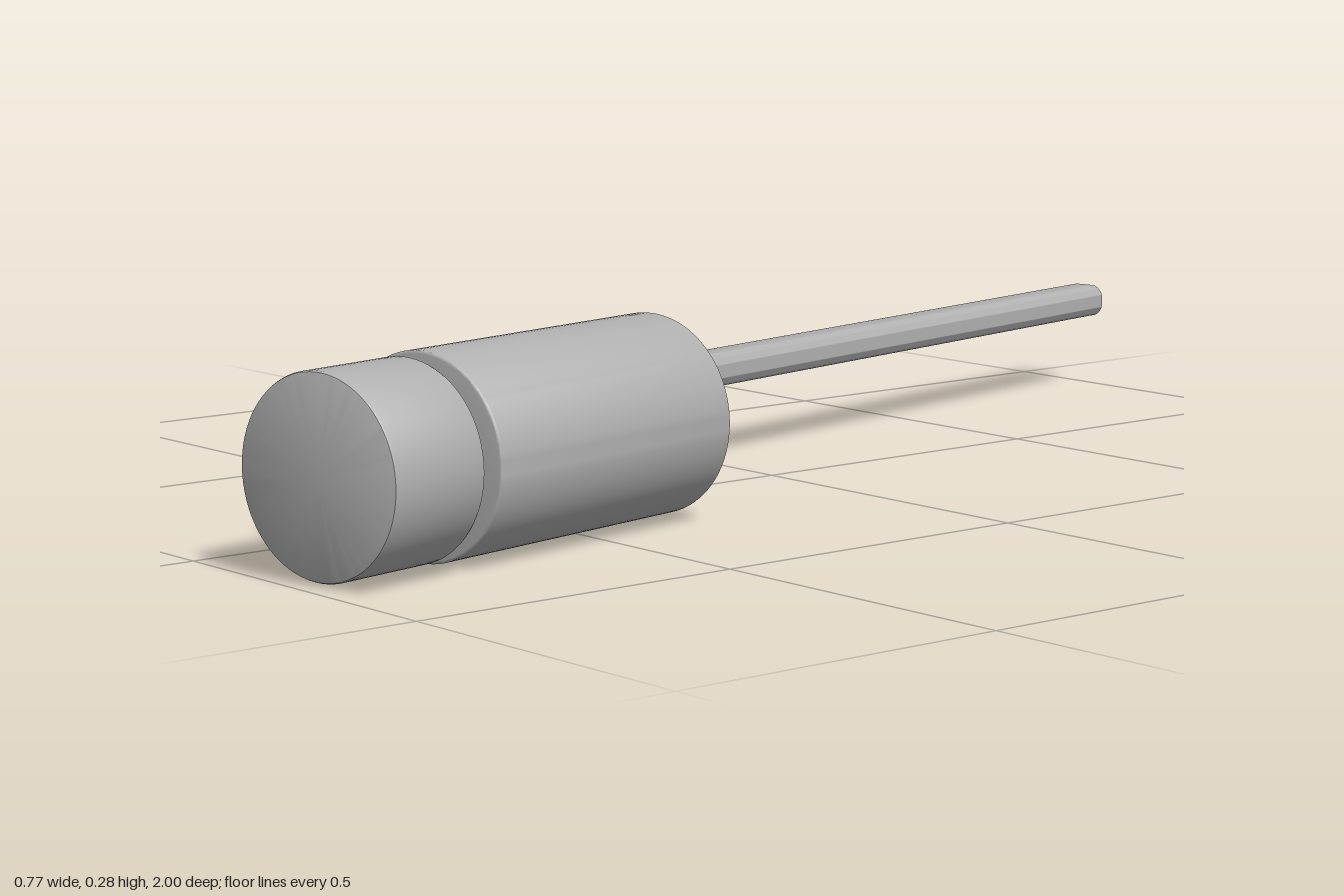
import * as THREE from 'three';
import { toCreasedNormals } from 'three/addons/utils/BufferGeometryUtils.js';

const LEFT = -0.182, ROD_RIGHT = -0.112, HALF = 0.0255, CORNER = 0.021; // rod section
const AXIS_X = 0.053, RADIUS = 0.141;                                   // barrel

// Rounded rectangle shared by the rod and its root
function rodShape() {
  const s = new THREE.Shape(), x0 = LEFT + CORNER, x1 = ROD_RIGHT - CORNER, y = HALF - CORNER;
  s.absarc(x1, y, CORNER, 0, Math.PI / 2);
  s.absarc(x0, y, CORNER, Math.PI / 2, Math.PI);
  s.absarc(x0, -y, CORNER, Math.PI, Math.PI * 1.5);
  s.absarc(x1, -y, CORNER, Math.PI * 1.5, Math.PI * 2);
  s.closePath();
  return s;
}

// Round barrel blending through concave fillets into the flat side web
function bodyShape() {
  const f = 0.04, h = HALF + f;
  const dx = Math.sqrt((RADIUS + f) ** 2 - h * h), fx = AXIS_X - dx, a = Math.atan2(h, dx);
  const s = new THREE.Shape(), x0 = LEFT + CORNER, y = HALF - CORNER;
  s.moveTo(fx, HALF);
  s.absarc(x0, y, CORNER, Math.PI / 2, Math.PI);
  s.absarc(x0, -y, CORNER, Math.PI, Math.PI * 1.5);
  s.absarc(fx, -h, f, Math.PI / 2, a, true);
  s.absarc(AXIS_X, 0, RADIUS, Math.PI + a, Math.PI * 3 - a);
  s.absarc(fx, h, f, -a, -Math.PI / 2, true);
  return s;
}

function extrude(shape, from, to, options) {
  const g = new THREE.ExtrudeGeometry(shape, { depth: to - from, bevelEnabled: false, curveSegments: 10, ...options });
  return g.translate(0, 0, from);
}

export function createModel() {
  const model = new THREE.Group();
  const grey = new THREE.MeshStandardMaterial({ color: 0xb0b0b0 });
  grey.name = 'plain grey';
  const tool = new THREE.Group();
  tool.name = 'angledAssembly';
  tool.position.y = RADIUS;
  tool.rotation.y = 0.198;
  model.add(tool);

  const add = (name, geometry) => {
    const mesh = new THREE.Mesh(toCreasedNormals(geometry, 0.6), grey);
    mesh.name = name;
    tool.add(mesh);
  };

  // Long thin rod
  add('rod', extrude(rodShape(), -1.043, 0.308));

  // Rod root: the inner edge sweeps out in a quarter round to meet the barrel
  const root = extrude(rodShape(), 0.308, 0.341, { steps: 8 });
  const p = root.attributes.position, middle = (LEFT + ROD_RIGHT) / 2;
  for (let i = 0; i < p.count; i++) {
    if (p.getX(i) < middle) continue;
    const t = Math.min(1, Math.max(0, (p.getZ(i) - 0.308) / 0.033));
    p.setX(i, p.getX(i) + 0.033 * (1 - Math.sqrt(1 - t * t)));
  }
  add('rodRoot', root);

  // Barrel with web, edges very slightly rounded
  const b = 0.003;
  add('barrelAndWeb', extrude(bodyShape(), 0.339 + b, 0.809 - b, {
    curveSegments: 40, bevelEnabled: true, bevelThickness: b, bevelSize: b, bevelOffset: -b, bevelSegments: 3,
  }));

  // Narrow neck and round end cap
  const r = 0.137, e = 0.005, z0 = 0.836, z1 = 1.003;
  const profile = [[0, 0.8], [0.062, 0.8], [0.062, z0], [r - e, z0], [r - e * 0.3, z0 + e * 0.3], [r, z0 + e],
    [r, z1 - e], [r - e * 0.3, z1 - e * 0.3], [r - e, z1], [0, z1]].map(([x, y]) => new THREE.Vector2(x, y));
  add('neckAndCap', new THREE.LatheGeometry(profile, 80).rotateX(Math.PI / 2).translate(AXIS_X + 0.001, 0, 0));

  return model;
}
